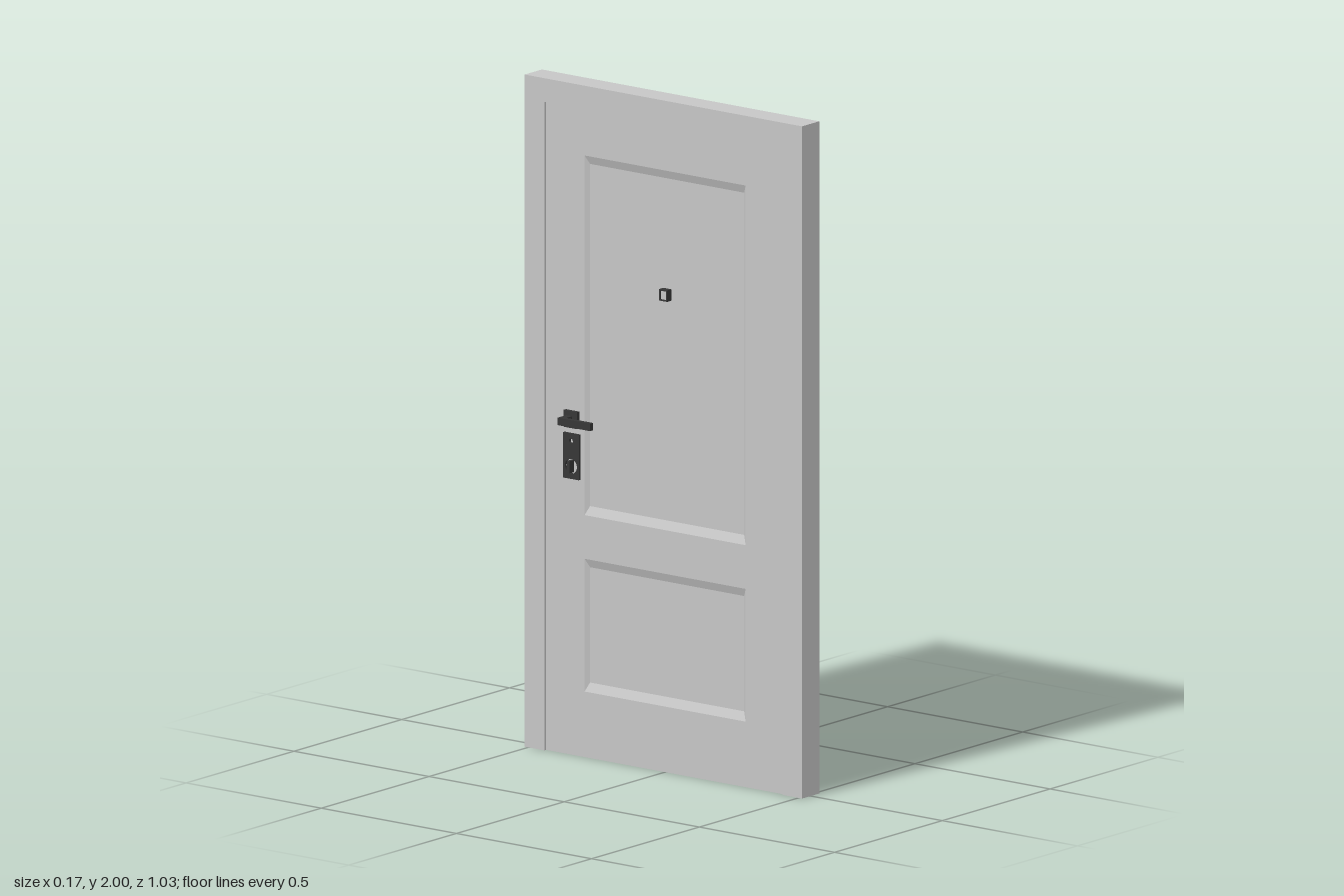
import * as THREE from 'three';

const doorPaint = new THREE.MeshStandardMaterial({ color: 0xc6c6c6 });
doorPaint.name = 'doorPaint';
const darkMetal = new THREE.MeshStandardMaterial({ color: 0x363636 });
darkMetal.name = 'darkMetal';

const HALF = 0.04;    // half thickness of the frame
const FACE = 0.032;   // leaf face
const FLOOR = 0.022;  // floor of the recessed panels
const panels = [[0.72, 1.79], [0.195, 0.59]];
const PANEL_X = 0.298;

function mesh(parent, name, geometry, material, x = 0, y = 0, z = 0) {
  const m = new THREE.Mesh(geometry, material);
  m.name = name;
  m.position.set(x, y, z);
  parent.add(m);
  return m;
}

function rect(target, x0, y0, x1, y1) {
  target.moveTo(x0, y0);
  target.lineTo(x1, y0);
  target.lineTo(x1, y1);
  target.lineTo(x0, y1);
  target.closePath();
  return target;
}

function extrude(shape, depth) {
  return new THREE.ExtrudeGeometry(shape, { depth, bevelEnabled: false, curveSegments: 24 });
}

// Square or tall plate with optional round or square openings
function plate(w, h, depth, holes) {
  const s = rect(new THREE.Shape(), -w / 2, -h / 2, w / 2, h / 2);
  for (const [y, r] of holes) s.holes.push(new THREE.Path().absarc(0, y, r, 0, Math.PI * 2, true));
  return extrude(s, depth);
}

// Four sloping faces from the leaf face down to the panel floor
function moulding(y0, y1) {
  const ring = (x, a, b, z) => [[-x, a, z], [x, a, z], [x, b, z], [-x, b, z]];
  const outer = ring(PANEL_X, y0, y1, FACE);
  const inner = ring(PANEL_X - 0.013, y0 + 0.027, y1 - 0.025, FLOOR + 0.0005);
  const pos = [];
  for (let i = 0; i < 4; i++) {
    const j = (i + 1) % 4;
    pos.push(...outer[i], ...outer[j], ...inner[j], ...outer[i], ...inner[j], ...inner[i]);
  }
  const g = new THREE.BufferGeometry();
  g.setAttribute('position', new THREE.Float32BufferAttribute(pos, 3));
  g.computeVertexNormals();
  return g;
}

// L-shaped lever: rosette, neck and grip; dir points from the latch to the hinges
function lever(dir) {
  const g = new THREE.Group();
  g.name = 'leverHandle';
  mesh(g, 'rosette', new THREE.BoxGeometry(0.05, 0.05, 0.012), darkMetal, 0, 0, FACE + 0.006);
  mesh(g, 'neck', new THREE.BoxGeometry(0.022, 0.022, 0.05), darkMetal, -dir * 0.003, 0, 0.06);
  mesh(g, 'grip', new THREE.BoxGeometry(0.121, 0.022, 0.014), darkMetal, dir * 0.0465, 0, 0.078);
  return g;
}

// One face of the leaf, facing local +z; s = 1 outside, -1 inside
function leafSide(s) {
  const g = new THREE.Group();
  g.name = s > 0 ? 'outerSide' : 'innerSide';
  const skin = rect(new THREE.Shape(), -0.44, 0, 0.44, 1.93);
  for (const [y0, y1] of panels) {
    skin.holes.push(rect(new THREE.Path(), -PANEL_X, y0, PANEL_X, y1));
    mesh(g, 'panelMoulding', moulding(y0, y1), doorPaint);
  }
  mesh(g, 'leafFace', extrude(skin, FACE - FLOOR), doorPaint, 0, 0, FLOOR);

  // Door viewer: a small square frame round a pale lens
  const viewer = rect(new THREE.Shape(), -0.015, -0.017, 0.015, 0.017);
  viewer.holes.push(rect(new THREE.Path(), -0.011, -0.013, 0.011, 0.013));
  mesh(g, 'viewerFrame', extrude(viewer, HALF + 0.002 - FLOOR), darkMetal, 0, 1.42, FLOOR);
  mesh(g, 'viewerLens', new THREE.BoxGeometry(0.023, 0.027, 0.016), doorPaint, 0, 1.42, FLOOR + 0.008);

  const x = s * 0.342;
  const handle = lever(-s);
  handle.position.set(x, 1, 0);
  g.add(handle);

  if (s > 0) {
    mesh(g, 'keyPlate', plate(0.062, 0.07, 0.007, [[0, 0.027]]), darkMetal, x, 0.92, FACE);
  } else {
    mesh(g, 'lockPlate', plate(0.058, 0.135, 0.008, [[-0.03, 0.022], [0.045, 0.007]]), darkMetal, x, 0.89, FACE);
    mesh(g, 'thumbTurn', new THREE.BoxGeometry(0.01, 0.036, 0.02), darkMetal, x, 0.86, FACE + 0.01);
  }
  g.rotation.y = s * Math.PI / 2;
  return g;
}

export function createModel() {
  const door = new THREE.Group();
  door.name = 'door';

  // Frame: posts and head in one piece, open at the bottom
  const outline = [[-0.513, 0], [-0.44, 0], [-0.44, 1.93], [0.44, 1.93], [0.44, 0], [0.513, 0], [0.513, 2], [-0.513, 2]];
  const frameShape = new THREE.Shape(outline.map(([x, y]) => new THREE.Vector2(x, y)));
  const frame = mesh(door, 'frame', extrude(frameShape, HALF * 2), doorPaint, -HALF, 0, 0);
  frame.rotation.y = Math.PI / 2;

  // Leaf core forms the floors of the panels
  mesh(door, 'leafCore', new THREE.BoxGeometry(FLOOR * 2, 1.93, 0.88), doorPaint, 0, 0.965, 0);
  door.add(leafSide(1), leafSide(-1));
  return door;
}
